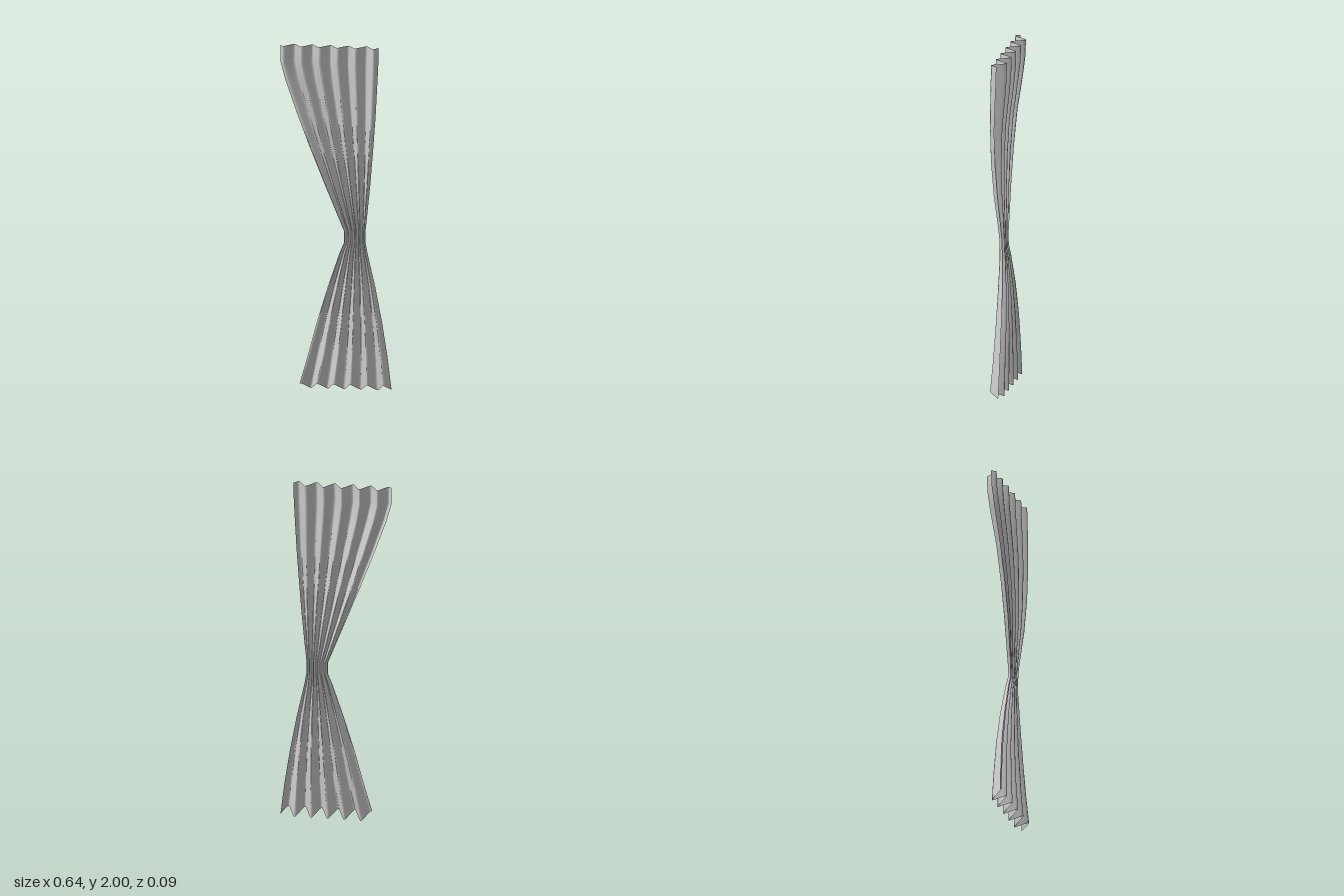
import * as THREE from 'three';

// Cross-sections from top to hem: [y, left x, right x, centre z, pleat depth, pleat phase shift]
const ROWS = [
  [2.0, -0.32, 0.25, 0.002, 0.04, 0],
  [1.9, -0.318, 0.249, 0.005, 0.04, 0],
  [1.8, -0.29, 0.245, 0.01, 0.038, 0],
  [1.6, -0.217, 0.236, 0.02, 0.031, 0],
  [1.4, -0.14, 0.221, 0.021, 0.027, 0.02],
  [1.2, -0.06, 0.203, 0.014, 0.023, 0.04],
  [1.0, 0.02, 0.18, 0.0, 0.016, 0.06],
  [0.93, 0.048, 0.172, -0.004, 0.014, 0.06],
  [0.86, 0.048, 0.172, -0.006, 0.014, 0.07],
  [0.8, 0.022, 0.182, -0.01, 0.016, 0.08],
  [0.6, -0.047, 0.226, -0.016, 0.023, 0.09],
  [0.4, -0.108, 0.264, -0.016, 0.028, 0.1],
  [0.2, -0.16, 0.296, -0.011, 0.033, 0.12],
  [0.02, -0.205, 0.32, -0.004, 0.038, 0.13],
];
const PLEATS = 5.43;
const START = -0.19;
const COLS = 66;

// Softened zigzag, 1 at the front folds and -1 at the back folds
const pleat = (p) => Math.asin(0.95 * Math.cos(2 * Math.PI * p)) / Math.asin(0.95);

export function createModel() {
  const group = new THREE.Group();
  group.name = 'tiedCurtain';

  const fabric = new THREE.MeshStandardMaterial({ color: 0xcccccc, side: THREE.DoubleSide });
  fabric.name = 'greyFabric';

  // Pleated cloth gathered at the waist
  const geometry = new THREE.PlaneGeometry(1, 1, COLS, ROWS.length - 1);
  const pos = geometry.attributes.position;
  ROWS.forEach(([y, left, right, z, depth, shift], r) => {
    for (let c = 0; c <= COLS; c++) {
      const u = c / COLS;
      const wave = pleat(START + PLEATS * u + shift);
      // The hem hangs lower at the back folds
      const drop = r === ROWS.length - 1 ? 0.02 * wave : 0;
      pos.setXYZ(r * (COLS + 1) + c, left + (right - left) * u, y + drop, z + depth * wave);
    }
  });
  geometry.computeVertexNormals();

  const curtain = new THREE.Mesh(geometry, fabric);
  curtain.name = 'curtain';
  group.add(curtain);
  return group;
}
